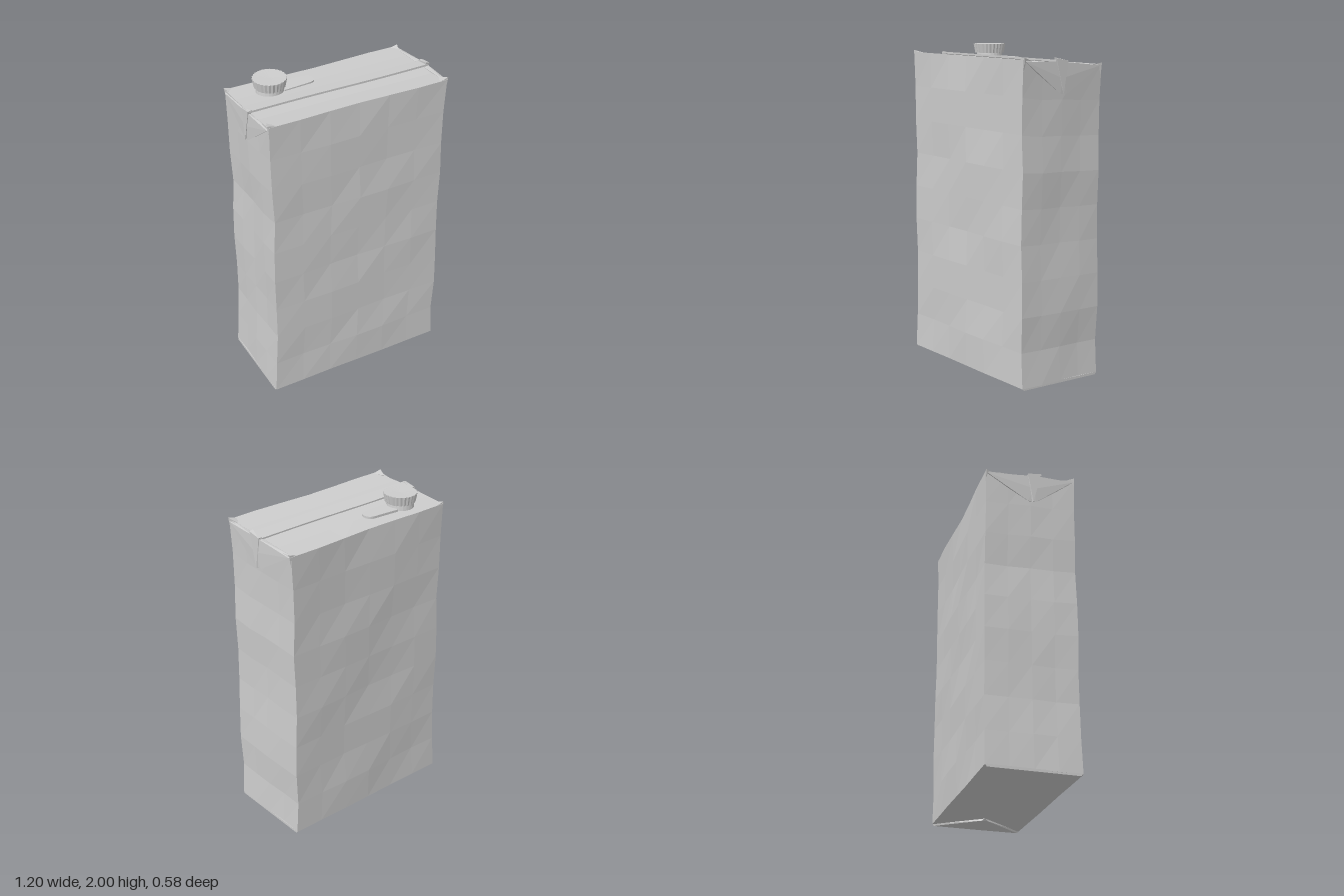
import * as THREE from 'three';
import { ConvexGeometry } from 'three/addons/geometries/ConvexGeometry.js';

// Linear lookup in a short list of [position, value] pairs
function sample(table, t) {
  for (let i = 1; i < table.length; i++) {
    const [a, va] = table[i - 1], [b, vb] = table[i];
    if (t <= b) return THREE.MathUtils.lerp(va, vb, THREE.MathUtils.clamp((t - a) / (b - a), 0, 1));
  }
  return table[table.length - 1][1];
}

// Side outlines of the slightly crumpled carton, by height
const leftEdge = [[0.02, -0.595], [0.2, -0.585], [0.5, -0.568], [1, -0.58], [1.25, -0.56], [1.5, -0.573], [1.93, -0.58]];
const rightEdge = [[0.02, 0.572], [0.2, 0.558], [0.5, 0.575], [1, 0.557], [1.25, 0.573], [1.6, 0.56], [1.93, 0.58]];
const topProfile = [[-0.285, 1.905], [-0.15, 1.91], [0, 1.922], [0.15, 1.925], [0.285, 1.945]];
const topY = (x, z) => sample(topProfile, z) - 0.008 * x;

export function createModel() {
  const group = new THREE.Group();
  const carton = new THREE.MeshStandardMaterial({ color: 0xcccccc, flatShading: true });
  carton.name = 'carton grey';

  function add(name, geometry, parent = group) {
    const mesh = new THREE.Mesh(geometry, carton);
    mesh.name = name;
    parent.add(mesh);
    return mesh;
  }

  // Body: subdivided box with uneven, dented walls
  const body = new THREE.BoxGeometry(2, 1, 2, 6, 9, 4);
  const p = body.attributes.position;
  for (let i = 0; i < p.count; i++) {
    const u = p.getX(i), v = p.getY(i) + 0.5, w = p.getZ(i);
    const y0 = 0.02 + v * 1.91;
    const x = THREE.MathUtils.lerp(sample(leftEdge, y0), sample(rightEdge, y0), (u + 1) / 2);
    const dent = 0.005 * Math.sin(u * 4 + v * 11) + 0.004 * Math.sin(v * 23 - u * 3);
    const z = w * 0.285 + Math.sign(w) * Math.abs(w) * dent * (1 - u * u * 0.6);
    const sideDent = 0.005 * Math.sin(w * 3 + v * 9) * u * (1 - w * w);
    const y = THREE.MathUtils.lerp(0.015, topY(x, z), v);
    p.setXYZ(i, x + sideDent, y, z);
  }
  body.computeVertexNormals();
  add('cartonBody', body);

  // Sealed seam folded over along the top
  const seam = new THREE.BoxGeometry(1.185, 0.012, 0.085, 10, 1, 1);
  const s = seam.attributes.position;
  for (let i = 0; i < s.count; i++) {
    const x = s.getX(i) - 0.003, z = s.getZ(i) + 0.0225;
    const lift = z > 0 ? 0.012 : 0.003;
    s.setXYZ(i, x, topY(x, z) + s.getY(i) + lift, z + 0.003 * Math.sin(x * 6));
  }
  seam.computeVertexNormals();
  add('topSeam', seam);

  for (const side of [-1, 1]) {
    const name = side > 0 ? 'left' : 'right';
    const v = (x, y, z) => new THREE.Vector3(side * x, y, z);

    // Triangular ear folded down against the side
    add(name + 'TopFlap', new ConvexGeometry([
      v(0.565, 1.935, 0.28), v(0.587, 1.93, 0.275), v(0.565, 1.9, -0.28), v(0.587, 1.895, -0.275),
      v(0.57, 1.92, 0), v(0.596, 1.925, 0.03), v(0.598, 1.83, 0.02),
      v(0.565, 1.75, 0), v(0.592, 1.74, 0.03), v(0.592, 1.74, -0.02),
    ]));
    // Raised crease in the middle of the ear
    add(name + 'FlapCrease', new ConvexGeometry([
      v(0.575, 1.95, 0.065), v(0.6, 1.945, 0.065), v(0.575, 1.93, -0.02), v(0.6, 1.93, -0.02),
      v(0.585, 1.735, 0), v(0.6, 1.735, 0.012),
    ]));
    // Small peaks at the top corners
    for (const z of [-0.285, 0.285]) {
      const y = topY(side * 0.57, z), k = Math.sign(z);
      add(name + 'CornerPeak', new ConvexGeometry([
        v(0.52, y - 0.004, z), v(0.588, y + 0.012, z), v(0.565, y - 0.005, z - k * 0.06),
        v(0.572, y - 0.09, z - k * 0.003),
      ]));
    }
    // Triangular flap folded under the base
    const edge = side > 0 ? 0.572 : 0.597;
    add(name + 'BottomFlap', new ConvexGeometry([
      v(edge, 0.02, 0.28), v(edge, 0.004, 0.275), v(edge, 0.02, -0.28), v(edge, 0.004, -0.275),
      v(0.36, 0.018, 0), v(0.37, 0.002, 0.02), v(0.37, 0.002, -0.02), v(edge - 0.01, 0, 0),
    ]));
  }

  // Screw cap with ridged rim
  const cap = new THREE.Group();
  cap.name = 'cap';
  cap.position.set(-0.36, 1.97, -0.145);
  group.add(cap);
  const capGeometry = new THREE.CylinderGeometry(0.103, 0.092, 0.054, 52, 1);
  const c = capGeometry.attributes.position;
  for (let i = 0; i < c.count; i++) {
    const x = c.getX(i), z = c.getZ(i);
    if (Math.hypot(x, z) < 0.01) continue;
    const ridge = Math.round(Math.atan2(x, z) / (Math.PI * 2) * 52) % 2 ? 0.95 : 1;
    c.setXYZ(i, x * ridge, c.getY(i) + (c.getY(i) > 0 ? 0.003 : 0), z * ridge);
  }
  capGeometry.computeVertexNormals();
  add('capTop', capGeometry, cap);
  add('capNeck', new THREE.CylinderGeometry(0.08, 0.085, 0.04, 24), cap).position.y = -0.045;

  // Rounded pull tab beside the cap
  const tab = new THREE.Shape();
  tab.moveTo(-0.29, -0.055);
  tab.lineTo(-0.12, -0.043);
  tab.quadraticCurveTo(-0.075, -0.04, -0.075, 0);
  tab.quadraticCurveTo(-0.075, 0.045, -0.12, 0.047);
  tab.lineTo(-0.29, 0.06);
  tab.closePath();
  const tabMesh = add('pullTab', new THREE.ExtrudeGeometry(tab, { depth: 0.018, bevelEnabled: false, curveSegments: 5 }));
  tabMesh.rotation.x = -Math.PI / 2;
  tabMesh.position.set(0, 1.906, -0.145);

  return group;
}
